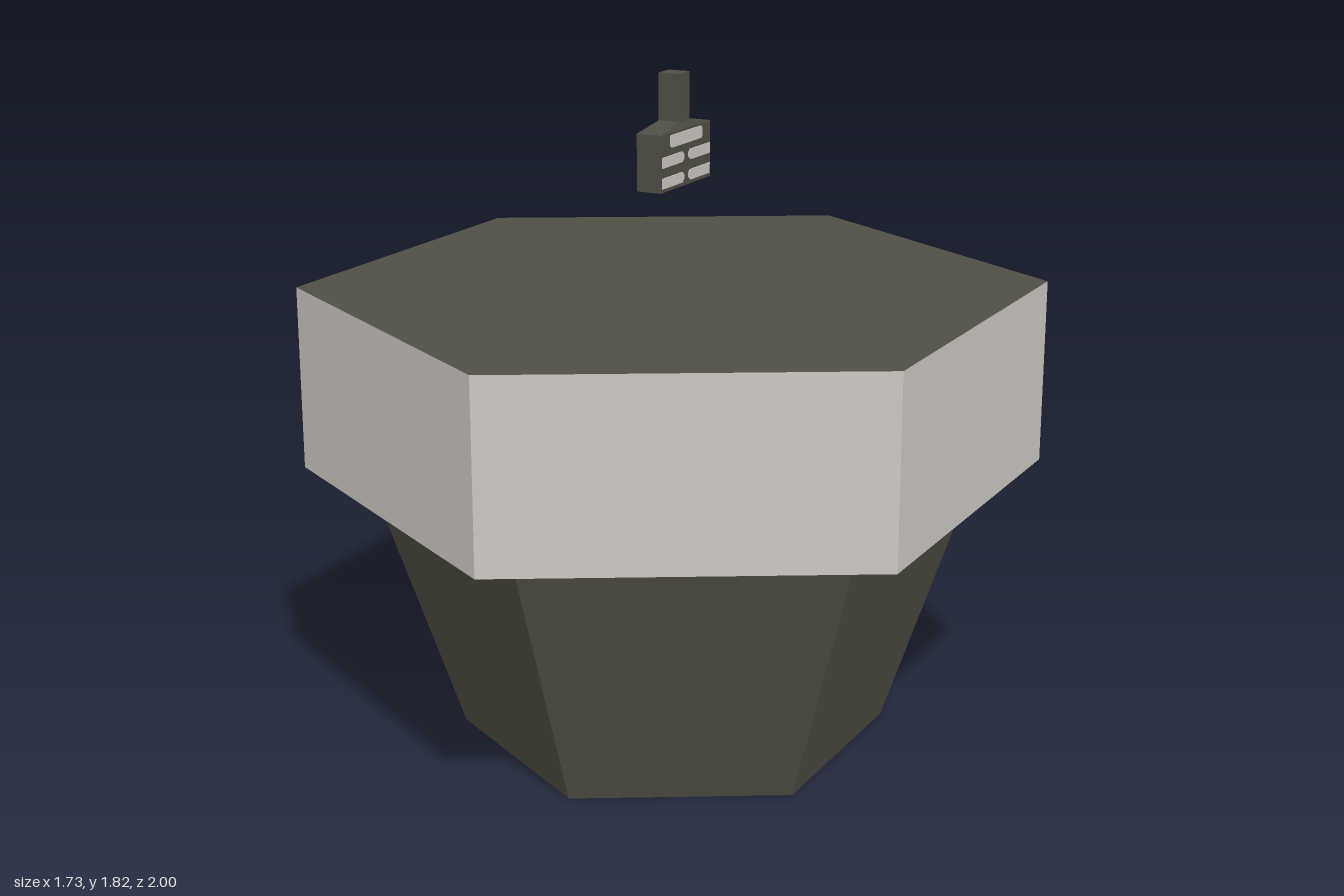
import * as THREE from 'three';

const dark = new THREE.MeshStandardMaterial({ color: 0x504f45, flatShading: true, side: THREE.DoubleSide });
dark.name = 'darkOlive';
const pale = new THREE.MeshStandardMaterial({ color: 0xccc8c3, flatShading: true });
pale.name = 'paleStone';

function add(parent, name, geometry, material, x = 0, y = 0, z = 0) {
  const mesh = new THREE.Mesh(geometry, material);
  mesh.name = name;
  mesh.position.set(x, y, z);
  parent.add(mesh);
  return mesh;
}

// Thin plate on the +x side, outlined in (z, y)
function plate(points) {
  const shape = new THREE.Shape(points.map(([z, y]) => new THREE.Vector2(-z, y)));
  const geo = new THREE.ExtrudeGeometry(shape, { depth: 0.003, bevelEnabled: false });
  return geo.rotateY(Math.PI / 2);
}

export function createModel() {
  const model = new THREE.Group();
  model.name = 'hexagonalPlanter';

  // Tapered hexagonal base, open underneath, with a floor inside
  add(model, 'baseWall', new THREE.CylinderGeometry(0.84, 0.583, 0.75, 6, 1, true), dark, 0, 0.375, 0);
  add(model, 'innerFloor', new THREE.CircleGeometry(0.771, 6, Math.PI / 2).rotateX(Math.PI / 2), dark, 0, 0.55, 0);

  // Wide rim: pale sides, dark top and underside
  add(model, 'rim', new THREE.CylinderGeometry(1, 1, 0.5, 6), [pale, dark, dark], 0, 1, 0);

  // Small floating head with a stem
  const head = new THREE.Group();
  head.name = 'floatingHead';
  model.add(head);
  add(head, 'headBody', new THREE.BoxGeometry(0.07, 0.15, 0.276), dark, 0, 1.597, 0);

  // Shoulder narrows from the body to the stem
  const shoulder = new THREE.BoxGeometry(0.07, 0.02, 0.276);
  const p = shoulder.attributes.position;
  for (let i = 0; i < p.count; i++) {
    if (p.getY(i) > 0) p.setXYZ(i, Math.sign(p.getX(i)) * 0.028, p.getY(i), Math.sign(p.getZ(i)) * 0.03);
  }
  shoulder.computeVertexNormals();
  add(head, 'shoulder', shoulder, dark, 0, 1.682, 0);
  add(head, 'stem', new THREE.BoxGeometry(0.06, 0.125, 0.06), dark, 0, 1.753, 0);

  // Pale bars on the +x face only
  add(head, 'topBar', plate([[-0.088, 1.638], [-0.082, 1.633], [0.082, 1.633], [0.088, 1.638],
    [0.088, 1.661], [0.082, 1.666], [-0.082, 1.666], [-0.088, 1.661]]), pale, 0.0345, 0, 0);
  for (const y of [1.6, 1.546]) {
    for (const s of [-1, 1]) {
      const outline = [[0.013, -0.006], [0.022, -0.014], [0.132, -0.014], [0.132, 0.014], [0.022, 0.014], [0.013, 0.006]]
        .map(([z, dy]) => [s * z, y + dy]);
      add(head, 'sideBar', plate(outline), pale, 0.0345, 0, 0);
    }
  }
  return model;
}
